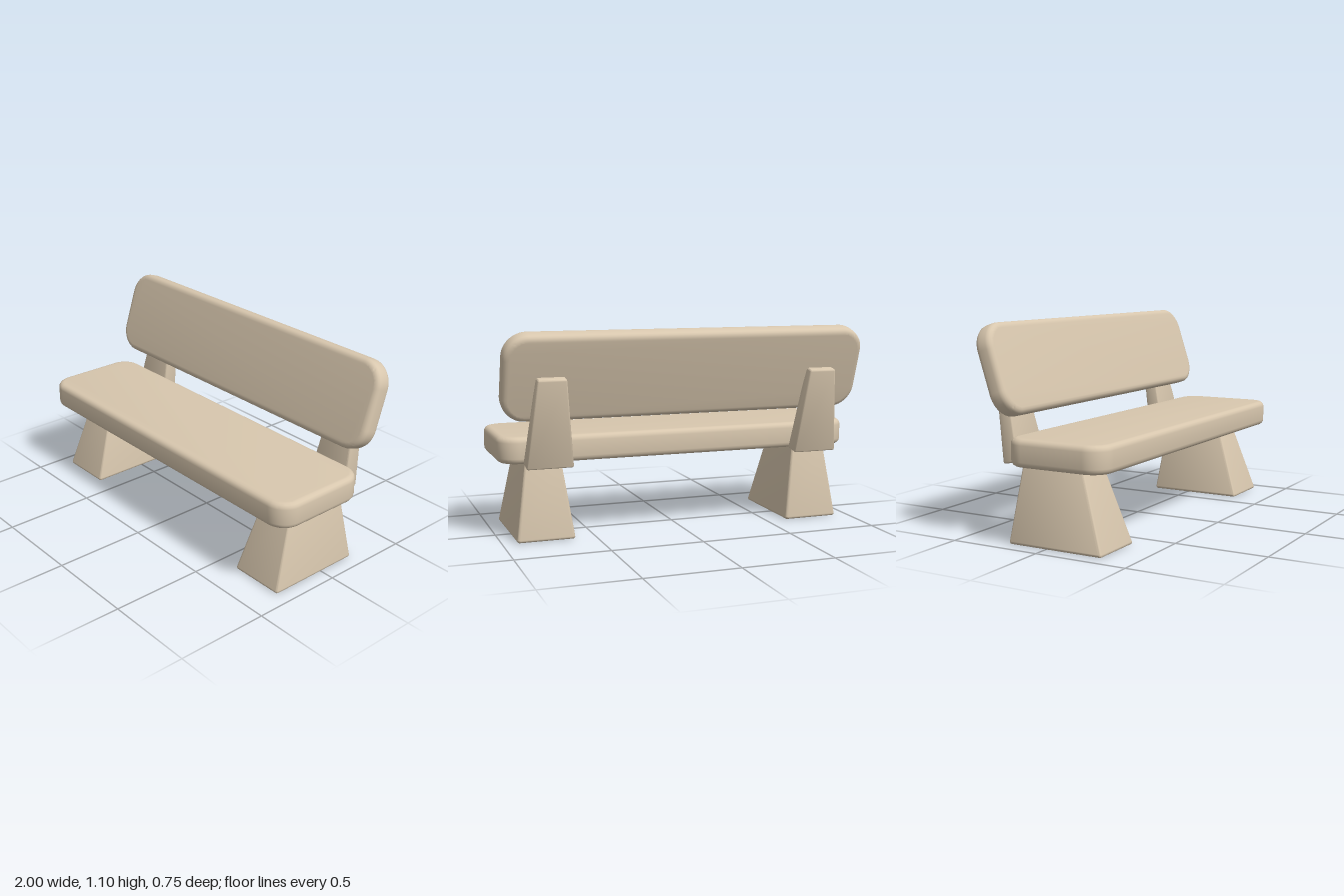
import * as THREE from 'three';
import { toCreasedNormals } from 'three/addons/utils/BufferGeometryUtils.js';
import { RoundedBoxGeometry } from 'three/addons/geometries/RoundedBoxGeometry.js';

// Flat board with rounded outline and softened rim; lies in XY, thickness along z, centred
function board(width, height, thickness, radius, bevel) {
  const x = width / 2 - bevel, y = height / 2 - bevel, r = radius - bevel;
  const s = new THREE.Shape();
  s.moveTo(-x + r, -y);
  s.lineTo(x - r, -y);
  s.absarc(x - r, -y + r, r, -Math.PI / 2, 0);
  s.lineTo(x, y - r);
  s.absarc(x - r, y - r, r, 0, Math.PI / 2);
  s.lineTo(-x + r, y);
  s.absarc(-x + r, y - r, r, Math.PI / 2, Math.PI);
  s.lineTo(-x, -y + r);
  s.absarc(-x + r, -y + r, r, Math.PI, Math.PI * 1.5);
  const g = new THREE.ExtrudeGeometry(s, {
    depth: thickness - 2 * bevel, bevelThickness: bevel, bevelSize: bevel,
    bevelSegments: 4, curveSegments: 8,
  });
  g.translate(0, 0, -thickness / 2 + bevel);
  return toCreasedNormals(g, 0.6);
}

// Rounded block tapering from bottom to top size, the top shifted along z
function taperedBlock(bottomW, bottomD, topW, topD, height, shiftZ, radius) {
  const g = new RoundedBoxGeometry(bottomW, height, bottomD, 3, radius);
  const p = g.attributes.position;
  for (let i = 0; i < p.count; i++) {
    const t = p.getY(i) / height + 0.5;
    p.setX(i, p.getX(i) * THREE.MathUtils.lerp(1, topW / bottomW, t));
    p.setZ(i, p.getZ(i) * THREE.MathUtils.lerp(1, topD / bottomD, t) + shiftZ * t);
  }
  return toCreasedNormals(g, 0.6);
}

export function createModel() {
  const bench = new THREE.Group();
  bench.name = 'bench';
  const stone = new THREE.MeshStandardMaterial({ color: 0xd8c7ae });
  stone.name = 'beige';

  const add = (name, geometry, x, y, z, tilt = 0) => {
    const m = new THREE.Mesh(geometry, stone);
    m.name = name;
    m.position.set(x, y, z);
    m.rotation.x = tilt;
    bench.add(m);
  };

  // Seat slab and leaning backrest
  add('seat', board(2, 0.567, 0.142, 0.11, 0.03), 0, 0.485, 0.092, -Math.PI / 2);
  add('backrest', board(2, 0.472, 0.1, 0.13, 0.03), 0, 0.875, -0.26, -0.315);

  // Legs and rear supports, one pair on each side
  const leg = taperedBlock(0.315, 0.545, 0.19, 0.34, 0.425, -0.045, 0.016);
  const support = taperedBlock(0.25, 0.092, 0.15, 0.06, 0.475, 0, 0.012);
  for (const [side, label] of [[1, 'left'], [-1, 'right']]) {
    add(label + 'Leg', leg, side * 0.768, 0.2175, 0.0525);
    add(label + 'BackSupport', support, side * 0.755, 0.64, -0.28, -0.2);
  }
  return bench;
}
